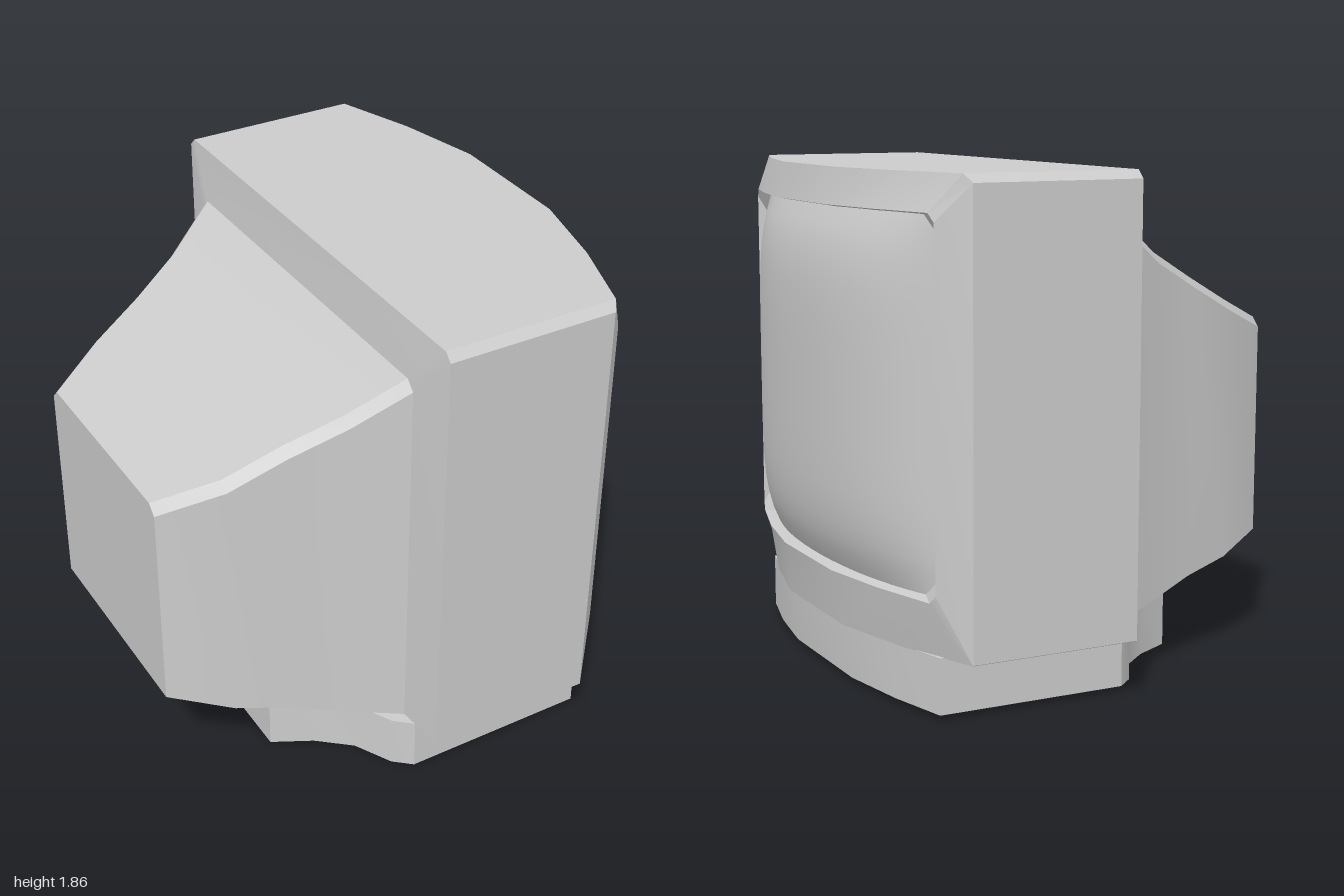
import * as THREE from 'three';
import { toCreasedNormals } from 'three/addons/utils/BufferGeometryUtils.js';

const grey = () => new THREE.MeshStandardMaterial({ color: 0xcccccc });

// Skin a row of closed rings (counter-clockwise seen from +z, listed back to front).
function loft(rings, { capBack = false, crease = 0.4 } = {}) {
  const n = rings[0].length;
  const index = [];
  for (let i = 0; i < rings.length - 1; i++) {
    for (let j = 0; j < n; j++) {
      const k = (j + 1) % n;
      const a = i * n + j, b = i * n + k, c = a + n, d = b + n;
      index.push(a, b, d, a, d, c);
    }
  }
  if (capBack) for (let j = 1; j < n - 1; j++) index.push(0, j + 1, j);
  const geometry = new THREE.BufferGeometry();
  geometry.setAttribute('position', new THREE.Float32BufferAttribute(rings.flat(2), 3));
  geometry.setIndex(index);
  return toCreasedNormals(geometry.toNonIndexed(), crease);
}

// Linear interpolation in a table of [|x|, depth] pairs.
function curve(table) {
  return (x) => {
    const v = Math.abs(x);
    for (let i = 1; i < table.length; i++) {
      const [x0, z0] = table[i - 1], [x1, z1] = table[i];
      if (v <= x1) return z0 + (z1 - z0) * Math.max(0, (v - x0) / (x1 - x0));
    }
    return table[table.length - 1][1];
  };
}

const rimDepth = curve([[0.26, 0.69], [0.6, 0.61], [0.885, 0.51], [0.915, 0.49]]);
const openingDepth = curve([[0.25, 0.72], [0.56, 0.66], [0.82, 0.585]]);

// Rectangle with chamfered corners whose depth follows a function of x.
function frameRing(w, y0, y1, topCut, bottomCut, depth) {
  const steps = [-1, -0.66, -0.29, 0.29, 0.66, 1];
  const points = [[w, y0 + bottomCut], [w, y1 - topCut]];
  for (const s of steps) points.push([-s * (w - topCut), y1]);
  points.push([-w, y1 - topCut], [-w, y0 + bottomCut]);
  for (const s of steps) points.push([s * (w - bottomCut), y0]);
  return points.map(([x, y]) => [x, y, depth(x)]);
}

// Section of the rear housing: chamfered top, straight sides, narrow flat belly.
function housingRing([z, w, top, cut, sideBottom, belly]) {
  return [
    [w, sideBottom, z], [w, top - cut, z], [w - cut, top, z], [cut - w, top, z],
    [-w, top - cut, z], [-w, sideBottom, z], [-0.425, belly, z], [0.425, belly, z],
  ];
}

export function createModel() {
  const model = new THREE.Group();
  model.name = 'monitor';
  const body = new THREE.Group();
  body.name = 'turnedBody';
  body.rotation.y = 2.209;
  body.position.set(0.035, 0, 0.047);
  model.add(body);

  const add = (name, geometry) => {
    const mesh = new THREE.Mesh(geometry, grey());
    mesh.name = name;
    body.add(mesh);
    return mesh;
  };

  // Front frame: outer shell, sloping rim, recessed inner wall
  add('bezel', loft([
    frameRing(0.915, 0.22, 1.86, 0.03, 0.002, () => -0.149),
    frameRing(0.915, 0.22, 1.86, 0.03, 0.002, rimDepth),
    frameRing(0.82, 0.42, 1.73, 0.03, 0.03, openingDepth),
    frameRing(0.805, 0.43, 1.72, 0.1, 0.1, (x) => openingDepth(x) - 0.05),
  ], { crease: 0.3 }));

  // Bulging glass
  const glass = new THREE.PlaneGeometry(1.62, 1.3, 24, 20);
  const p = glass.attributes.position;
  for (let i = 0; i < p.count; i++) {
    const x = p.getX(i), y = p.getY(i);
    const s = Math.abs(x / 0.81), t = Math.abs(y / 0.65);
    const arc = 0.678 - 0.145 * Math.pow(s, 2.2);
    p.setXYZ(i, x, y + 1.075, arc + 0.08 * (1 - s ** 5) * (1 - t ** 5));
  }
  glass.computeVertexNormals();
  add('screen', glass);

  // Rear housing: depth, half width, top, chamfer, side bottom, belly
  add('rearHousing', loft([
    [-0.975, 0.425, 1.26, 0.035, 0.43, 0.43],
    [-0.76, 0.54, 1.35, 0.035, 0.37, 0.325],
    [-0.565, 0.595, 1.45, 0.035, 0.33, 0.22],
    [-0.37, 0.67, 1.55, 0.035, 0.28, 0.22],
    [-0.183, 0.755, 1.68, 0.035, 0.25, 0.22],
    [-0.149, 0.915, 1.86, 0.03, 0.222, 0.22],
  ].map(housingRing), { capBack: true }));

  // Foot: bowed front, flared sides narrowing to the back
  const half = [[0.27, 0.66], [0.55, 0.615], [0.79, 0.555], [0.795, -0.16],
    [0.74, -0.225], [0.6, -0.3], [0.5, -0.42], [0.425, -0.565]];
  const outline = [...half, ...half.map(([x, z]) => [-x, z]).reverse()];
  const shape = new THREE.Shape(outline.map(([x, z]) => new THREE.Vector2(x, -z)));
  const foot = new THREE.ExtrudeGeometry(shape, { depth: 0.203, bevelEnabled: false });
  foot.rotateX(-Math.PI / 2).translate(0, 0.02, 0);
  add('base', toCreasedNormals(foot, 0.4));

  // Thin, slightly tilted rest under the foot
  const rest = add('baseRest', new THREE.BoxGeometry(1.32, 0.02, 0.08));
  rest.position.set(0, 0.018, -0.2);
  rest.rotation.z = -0.012;

  return model;
}
